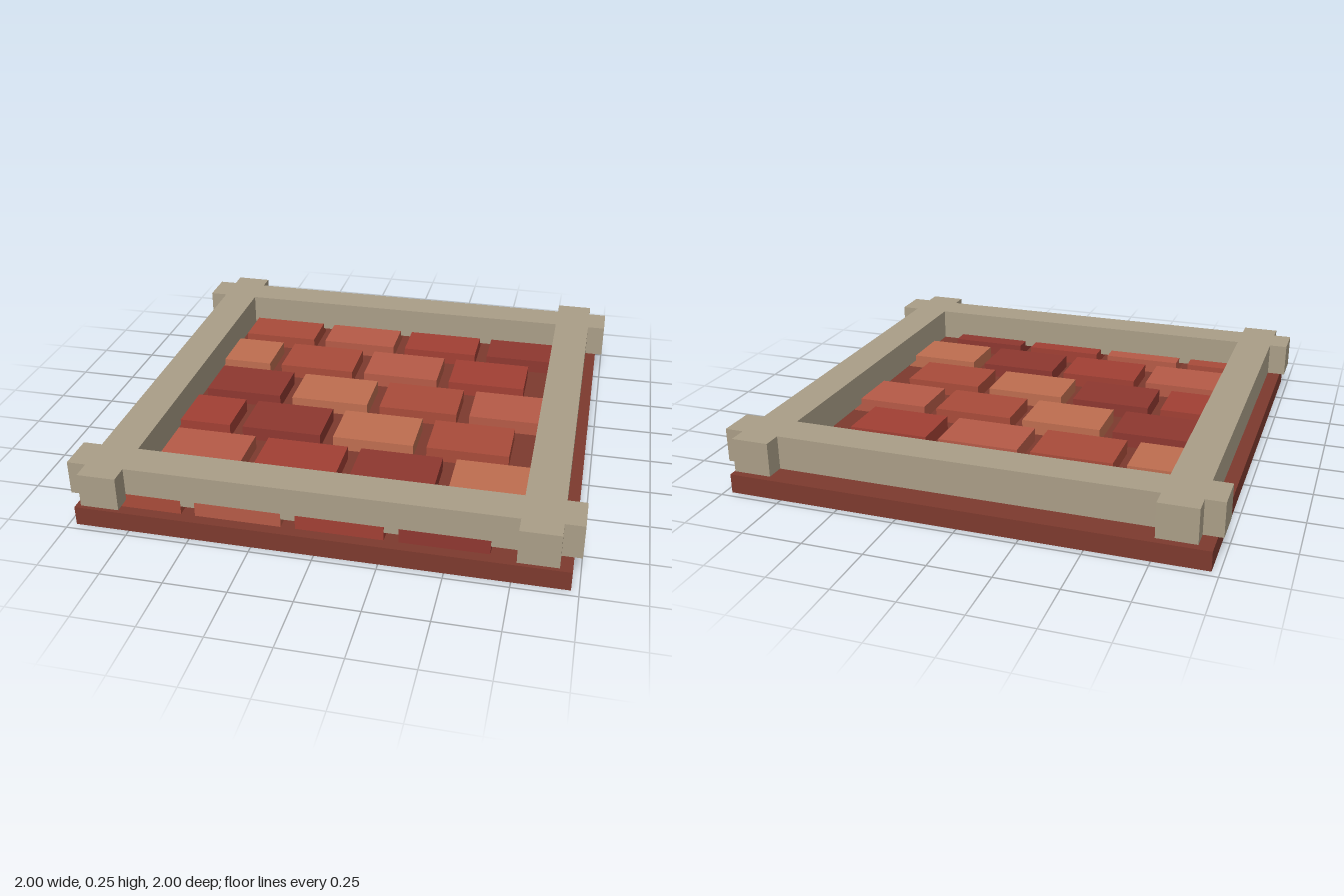
import * as THREE from 'three';

const paint = (color) => new THREE.MeshStandardMaterial({ color, flatShading: true });

function addBox(parent, name, size, position, material) {
  const mesh = new THREE.Mesh(new THREE.BoxGeometry(...size), material);
  mesh.name = name;
  mesh.position.set(...position);
  parent.add(mesh);
}

// Square frame of four rails whose ends cross and stick out at the corners
function frameGeometry(inner, outer, tip, height) {
  const corner = [
    [outer, inner], [tip, inner], [tip, outer], [outer, outer],
    [outer, tip], [inner, tip], [inner, outer],
  ];
  const points = [];
  for (let k = 0; k < 4; k++) {
    for (const [x, y] of corner) {
      points.push(new THREE.Vector2(x, y).rotateAround(new THREE.Vector2(), k * Math.PI / 2));
    }
  }
  const shape = new THREE.Shape(points);
  shape.holes.push(new THREE.Path([
    new THREE.Vector2(-inner, -inner), new THREE.Vector2(-inner, inner),
    new THREE.Vector2(inner, inner), new THREE.Vector2(inner, -inner),
  ]));
  return new THREE.ExtrudeGeometry(shape, { depth: height, bevelEnabled: false })
    .rotateX(-Math.PI / 2);
}

export function createModel() {
  const model = new THREE.Group();

  // Mortar slab
  addBox(model, 'baseSlab', [1.94, 0.08, 1.94], [0, 0.04, 0], paint(0x7e3a2e));

  // Bricks in running bond, colours stepping along each row
  const clay = [0xaa4c3a, 0xb75b47, 0xa24034, 0x8f3830, 0xc06e50].map(paint);
  const bricks = new THREE.Group();
  bricks.name = 'bricks';
  for (let row = 0; row < 6; row++) {
    const start = row % 2 ? -0.716 : -0.578;
    for (let col = 0; col < 4; col++) {
      addBox(bricks, 'brick', [0.346, 0.06, 0.235],
        [start + col * 0.403, 0.11, -0.694 + row * 0.3],
        clay[(col + 4 * row) % 5]);
    }
  }
  model.add(bricks);

  // Stone border
  const border = new THREE.Mesh(frameGeometry(0.768, 0.923, 1, 0.14), paint(0xab9f88));
  border.name = 'borderFrame';
  border.position.y = 0.115;
  model.add(border);

  return model;
}
